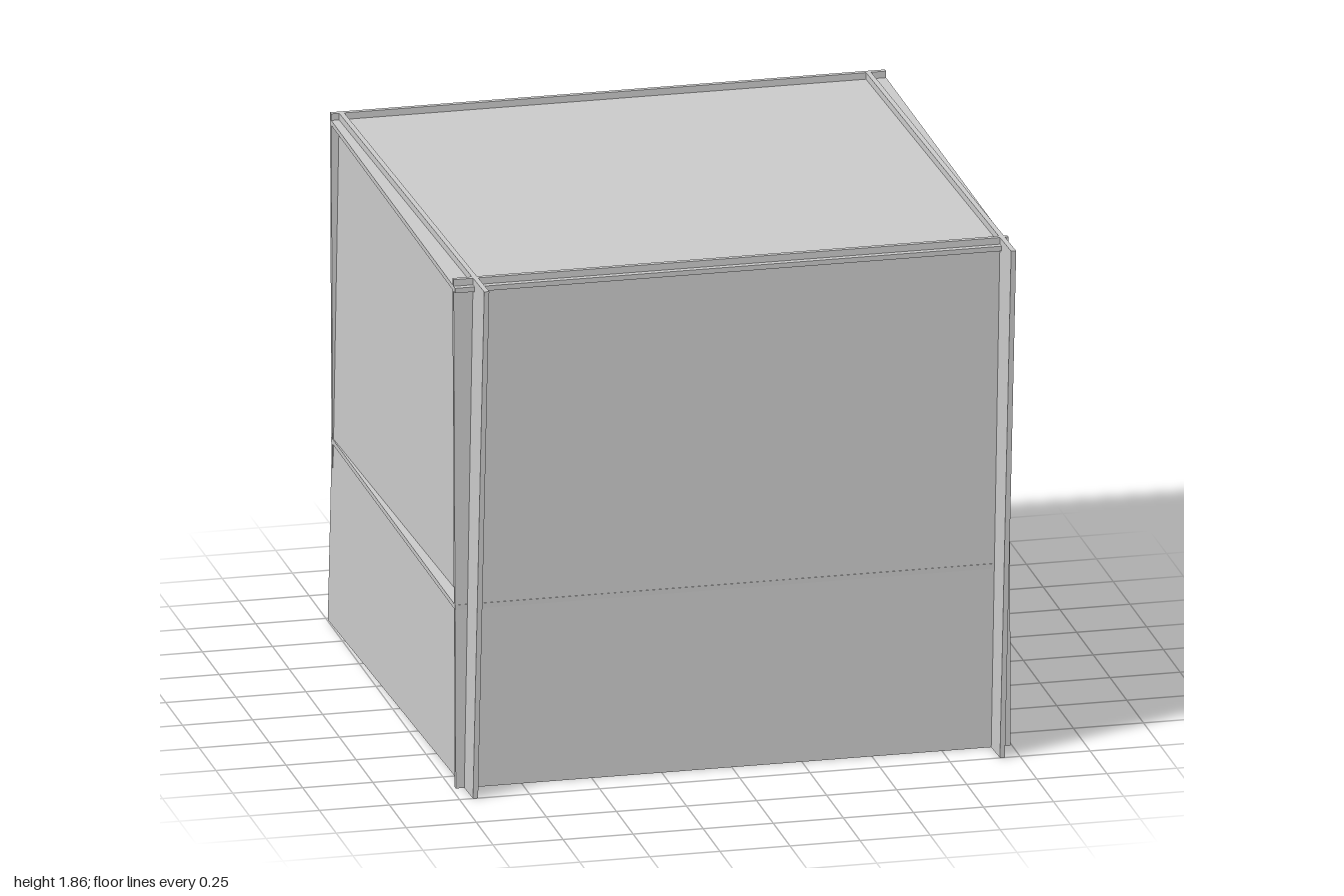
import * as THREE from 'three';

const HEIGHT = 1.855;
const THICK = 0.018;
const LEFT = -0.985, RIGHT = 0.995;   // width of the cross panels
const BACK = -0.983, FRONT = 0.871;   // depth of the shelves

const material = new THREE.MeshStandardMaterial({
  color: 0xcccccc, flatShading: true, side: THREE.DoubleSide,
});

// Box between two corners, its vertices then shifted by a leaning rule
function panel(name, min, max, lean) {
  const geo = new THREE.BoxGeometry(max[0] - min[0], max[1] - min[1], max[2] - min[2]);
  geo.translate((min[0] + max[0]) / 2, (min[1] + max[1]) / 2, (min[2] + max[2]) / 2);
  if (lean) {
    const p = geo.attributes.position;
    const v = new THREE.Vector3();
    for (let i = 0; i < p.count; i++) {
      lean(v.fromBufferAttribute(p, i));
      p.setXYZ(i, v.x, v.y, v.z);
    }
    geo.computeVertexNormals();
  }
  const mesh = new THREE.Mesh(geo, material);
  mesh.name = name;
  return mesh;
}

export function createModel() {
  const group = new THREE.Group();
  group.name = 'panelBox';
  const h = THICK / 2;

  // Side walls lean towards +x both upwards and forwards
  for (const [name, x] of [['rightWall', -0.943], ['leftWall', 0.937]]) {
    group.add(panel(name, [x - h, 0, -0.984], [x + h, HEIGHT, 1], (v) => {
      v.x += 0.04 * (v.y / HEIGHT) + 0.0225 * (v.z - 1);
    }));
  }

  // Front and back walls lean backwards
  for (const [name, z] of [['frontWall', 0.872], ['backWall', -0.958]]) {
    group.add(panel(name, [LEFT, 0, z - h], [RIGHT, HEIGHT, z + h], (v) => {
      v.z -= 0.033 * (v.y / HEIGHT);
    }));
  }

  // Level shelves slotted through the walls
  for (const [name, y] of [['topPanel', 1.822], ['middleShelf', 0.66]]) {
    group.add(panel(name, [LEFT, y - h, BACK], [RIGHT, y + h, FRONT]));
  }
  return group;
}
